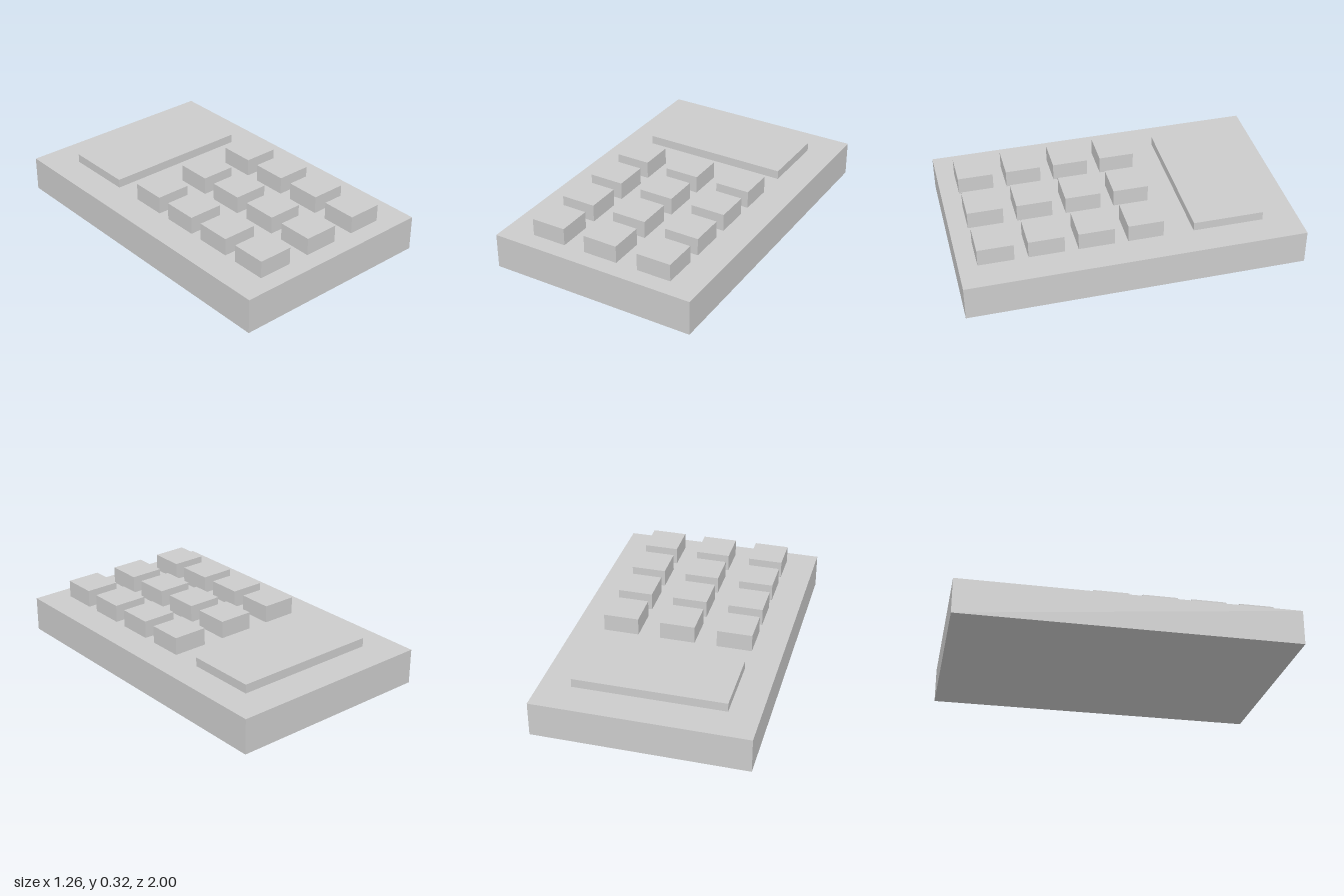
import * as THREE from 'three';

const material = new THREE.MeshStandardMaterial({ color: 0xcccccc, flatShading: true });

// Box resting on height y
function block(name, w, h, d, x, y, z) {
  const mesh = new THREE.Mesh(new THREE.BoxGeometry(w, h, d), material);
  mesh.name = name;
  mesh.position.set(x, y + h / 2, z);
  return mesh;
}

export function createModel() {
  const model = new THREE.Group();
  model.name = 'calculator';

  const bodyHeight = 0.211;
  model.add(block('body', 1.26, bodyHeight, 2, 0, 0, 0));

  // Raised display at the back
  model.add(block('display', 0.895, 0.053, 0.42, 0, bodyHeight, -0.58));

  // Keypad: four rows of three keys
  const keypad = new THREE.Group();
  keypad.name = 'keypad';
  const keySize = 0.21;
  for (let row = 0; row < 4; row++) {
    for (let col = 0; col < 3; col++) {
      const x = (col - 1) * 0.343;
      const z = -0.084 + row * 0.29;
      keypad.add(block(`key${row * 3 + col + 1}`, keySize, 0.105, keySize, x, bodyHeight, z));
    }
  }
  model.add(keypad);

  return model;
}
